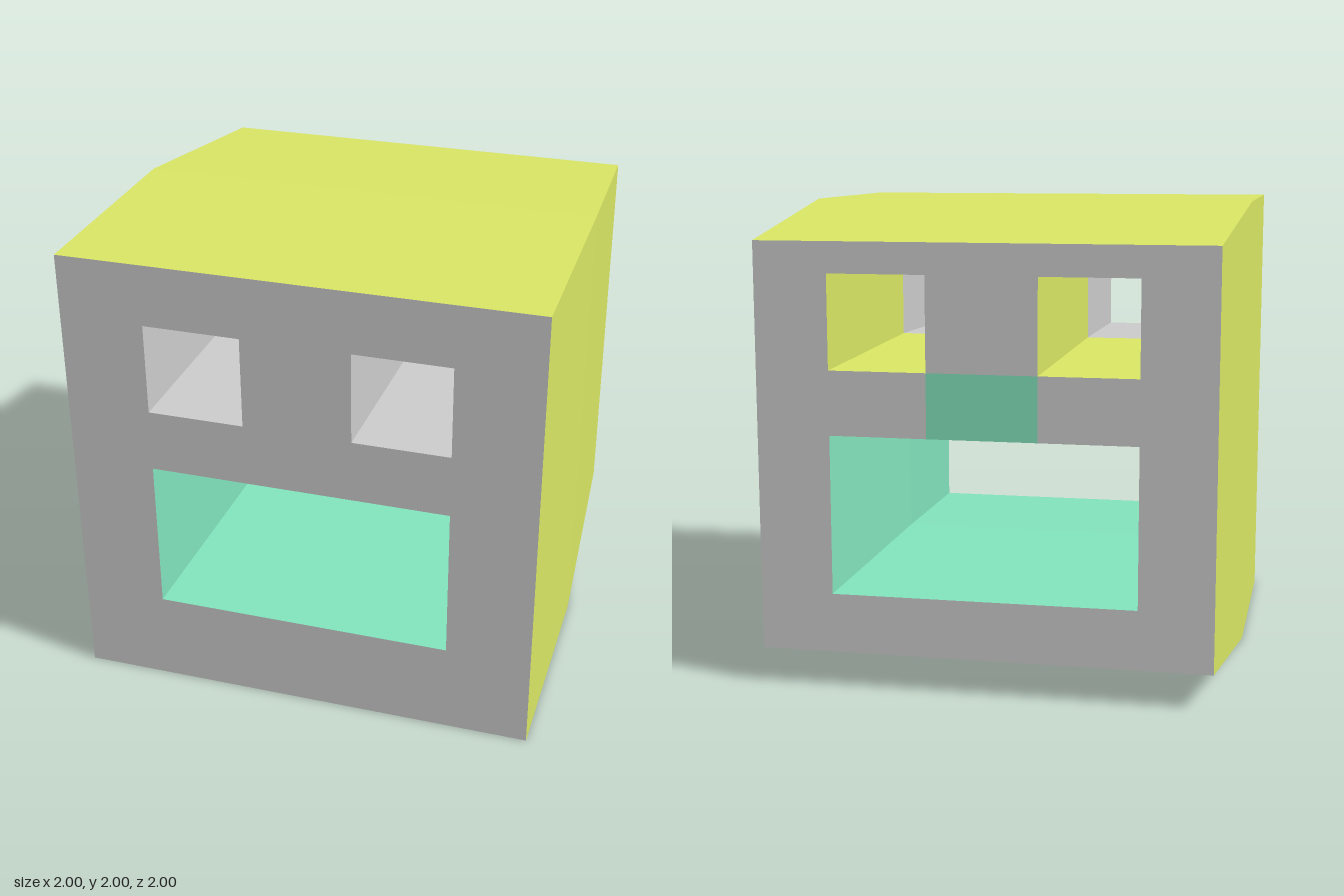
import * as THREE from 'three';

const GREY = 0xcccccc, YELLOW = 0xd9e664, GREEN = 0x82e3bc;

// rectangular cross-section, corners counter-clockwise seen from the front
const ring = (x0, x1, y0, y1, z) => [[x0, y0, z], [x1, y0, z], [x1, y1, z], [x0, y1, z]];

function meshFromQuads(name, color, quads) {
  const pos = quads.flatMap(([a, b, c, d]) => [a, b, c, a, c, d]).flat();
  const geo = new THREE.BufferGeometry();
  geo.setAttribute('position', new THREE.Float32BufferAttribute(pos, 3));
  geo.computeVertexNormals();
  const mesh = new THREE.Mesh(geo, new THREE.MeshStandardMaterial({ color, flatShading: true }));
  mesh.name = name;
  return mesh;
}

// four-sided walls through a list of rings (front to back), facing outward or inward
function walls(name, color, rings, inward = false) {
  const quads = [];
  for (let r = 0; r < rings.length - 1; r++) {
    for (let i = 0; i < 4; i++) {
      const j = (i + 1) % 4;
      const quad = [rings[r][i], rings[r + 1][i], rings[r + 1][j], rings[r][j]];
      quads.push(inward ? quad.reverse() : quad);
    }
  }
  return meshFromQuads(name, color, quads);
}

// grid lines shared by the front and back plates: outer edges plus the openings
const COLS = [-0.64, -0.23, 0.23, 0.64];
const ROWS = [0.4, 1.07, 1.34, 1.735];

// pierced plate as grid cells; keep(col, row) selects the cells
function plate(name, color, halfW, y0, y1, z, keep) {
  const xs = [-halfW, ...COLS, halfW], ys = [y0, ...ROWS, y1];
  const quads = [];
  for (let c = 0; c < 5; c++) {
    for (let r = 0; r < 5; r++) {
      if (!keep(c, r)) continue;
      const quad = ring(xs[c], xs[c + 1], ys[r], ys[r + 1], z);
      quads.push(z < 0 ? quad.reverse() : quad);
    }
  }
  return meshFromQuads(name, color, quads);
}

export function createModel() {
  const model = new THREE.Group();
  model.name = 'piercedBlock';

  // outer shell: straight front half, tapered back half
  model.add(walls('outerShell', YELLOW, [
    ring(-1, 1, 0, 2, 1),
    ring(-1, 1, 0, 2, 0),
    ring(-0.95, 0.95, 0.15, 1.865, -1),
  ]));

  // front and back plates with the three openings
  const isMouth = (c, r) => r === 1 && c >= 1 && c <= 3;
  const isEye = (c, r) => r === 3 && (c === 1 || c === 3);
  const isBridge = (c, r) => r === 2 && c === 2;
  const solid = (c, r) => !isMouth(c, r) && !isEye(c, r);
  model.add(plate('frontPlate', GREY, 1, 0, 2, 1, solid));
  model.add(plate('backPlate', GREY, 0.95, 0.15, 1.865, -1, (c, r) => solid(c, r) && !isBridge(c, r)));
  model.add(plate('backBridge', GREEN, 0.95, 0.15, 1.865, -1, isBridge));

  // eye tunnels, narrowing to a neck at mid depth
  for (const [side, s] of [['left', 1], ['right', -1]]) {
    const span = (a, b, y0, y1, z) => ring(Math.min(s * a, s * b), Math.max(s * a, s * b), y0, y1, z);
    const neck = span(0.27, 0.6, 1.38, 1.693, 0);
    model.add(walls(side + 'EyeTunnelFront', GREY, [span(0.23, 0.64, 1.34, 1.735, 1), neck], true));
    model.add(walls(side + 'EyeTunnelBack', YELLOW, [neck, span(0.23, 0.64, 1.34, 1.735, -1)], true));
  }

  // mouth tunnel with the same mid-depth neck
  model.add(walls('mouthTunnel', GREEN, [
    ring(-0.64, 0.64, 0.4, 1.07, 1),
    ring(-0.575, 0.575, 0.465, 1.01, 0),
    ring(-0.64, 0.64, 0.4, 1.07, -1),
  ], true));

  return model;
}
